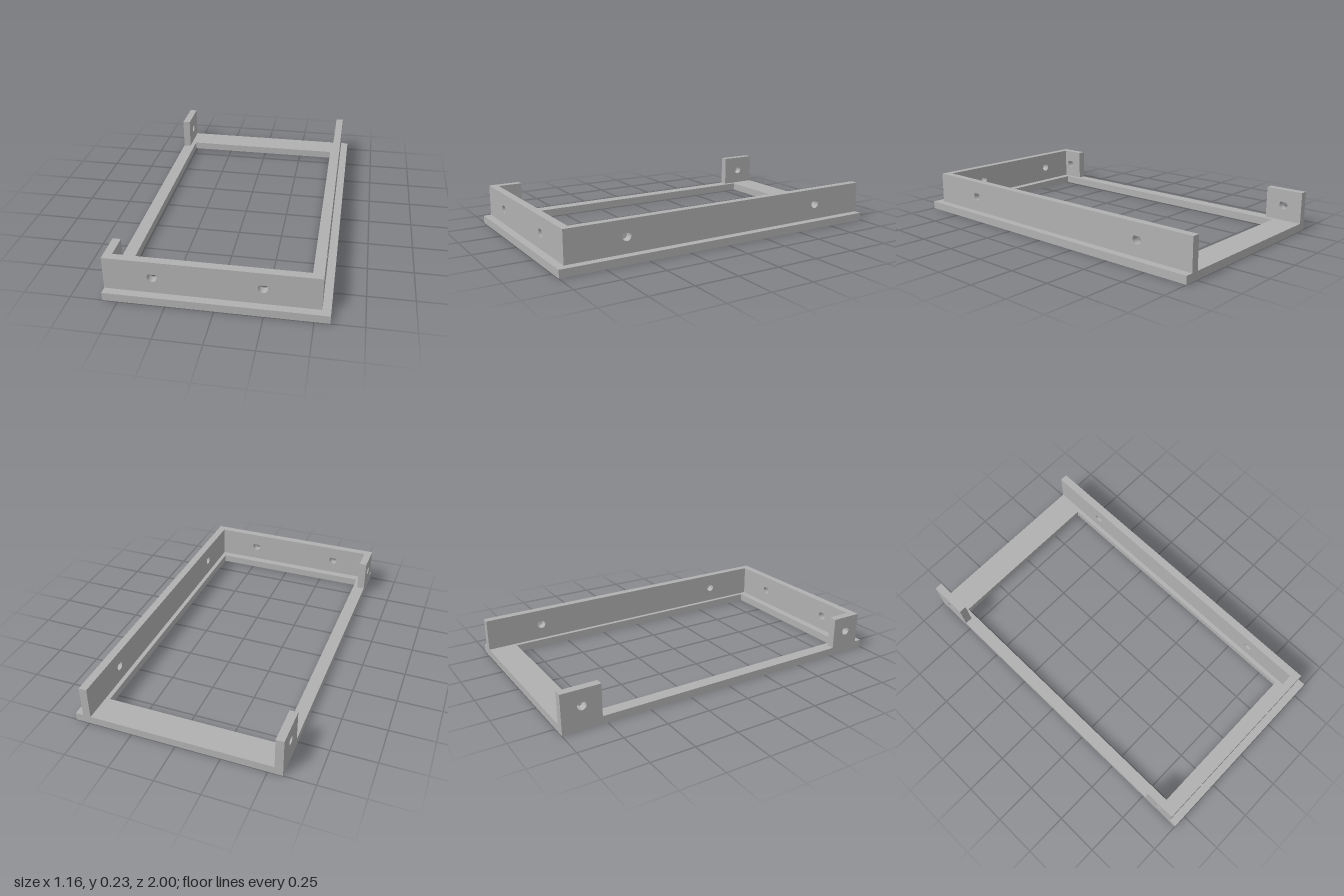
import * as THREE from 'three';

const BASE_H = 0.045, TOP = 0.228, WALL_T = 0.045;
const HOLE_Y = 0.137, HOLE_R = 0.0255;

function rect(target, x0, y0, x1, y1) {
  target.moveTo(x0, y0);
  target.lineTo(x1, y0);
  target.lineTo(x1, y1);
  target.lineTo(x0, y1);
  target.closePath();
  return target;
}

// Screw hole: a circle whose 45 degree tangents meet in a point at the top
function teardrop(u) {
  const path = new THREE.Path();
  path.moveTo(u, HOLE_Y + HOLE_R * Math.SQRT2);
  path.absarc(u, HOLE_Y, HOLE_R, Math.PI * 0.75, Math.PI * 2.25, false);
  path.closePath();
  return path;
}

// Upright plate spanning u0..u1, pierced by teardrop holes
function wallGeometry(u0, u1, holes) {
  const shape = rect(new THREE.Shape(), u0, BASE_H, u1, TOP);
  shape.holes = holes.map(teardrop);
  return new THREE.ExtrudeGeometry(shape, { depth: WALL_T, bevelEnabled: false, curveSegments: 18 });
}

export function createModel() {
  const model = new THREE.Group();
  model.name = 'mountingFrame';
  const grey = new THREE.MeshStandardMaterial({ color: 0xb0b0b0 });
  grey.name = 'grey';

  const add = (name, geometry) => {
    const mesh = new THREE.Mesh(geometry, grey);
    mesh.name = name;
    model.add(mesh);
  };

  // Flat base with an off-centre opening
  const base = rect(new THREE.Shape(), -0.58, -1, 0.58, 1);
  base.holes.push(rect(new THREE.Path(), -0.508, -0.865, 0.465, 0.836));
  const baseGeometry = new THREE.ExtrudeGeometry(base, { depth: BASE_H, bevelEnabled: false });
  baseGeometry.rotateX(-Math.PI / 2);
  add('baseFrame', baseGeometry);

  // Front wall
  add('frontWall', wallGeometry(-0.58, 0.535, [-0.323, 0.241]).translate(0, 0, 0.91));

  // Walls running front to back: [name, x, back z, front z, hole z positions]
  const sideWalls = [
    ['longSideWall', 0.49, -1, 0.91, [0.607, -0.66]],
    ['backCornerTab', -0.58, -1, -0.777, [-0.887]],
    ['frontCornerTab', -0.58, 0.77, 0.91, [0.863]],
  ];
  for (const [name, x, z0, z1, holes] of sideWalls) {
    const geometry = wallGeometry(-z1, -z0, holes.map((z) => -z));
    add(name, geometry.rotateY(Math.PI / 2).translate(x, 0, 0));
  }

  return model;
}
